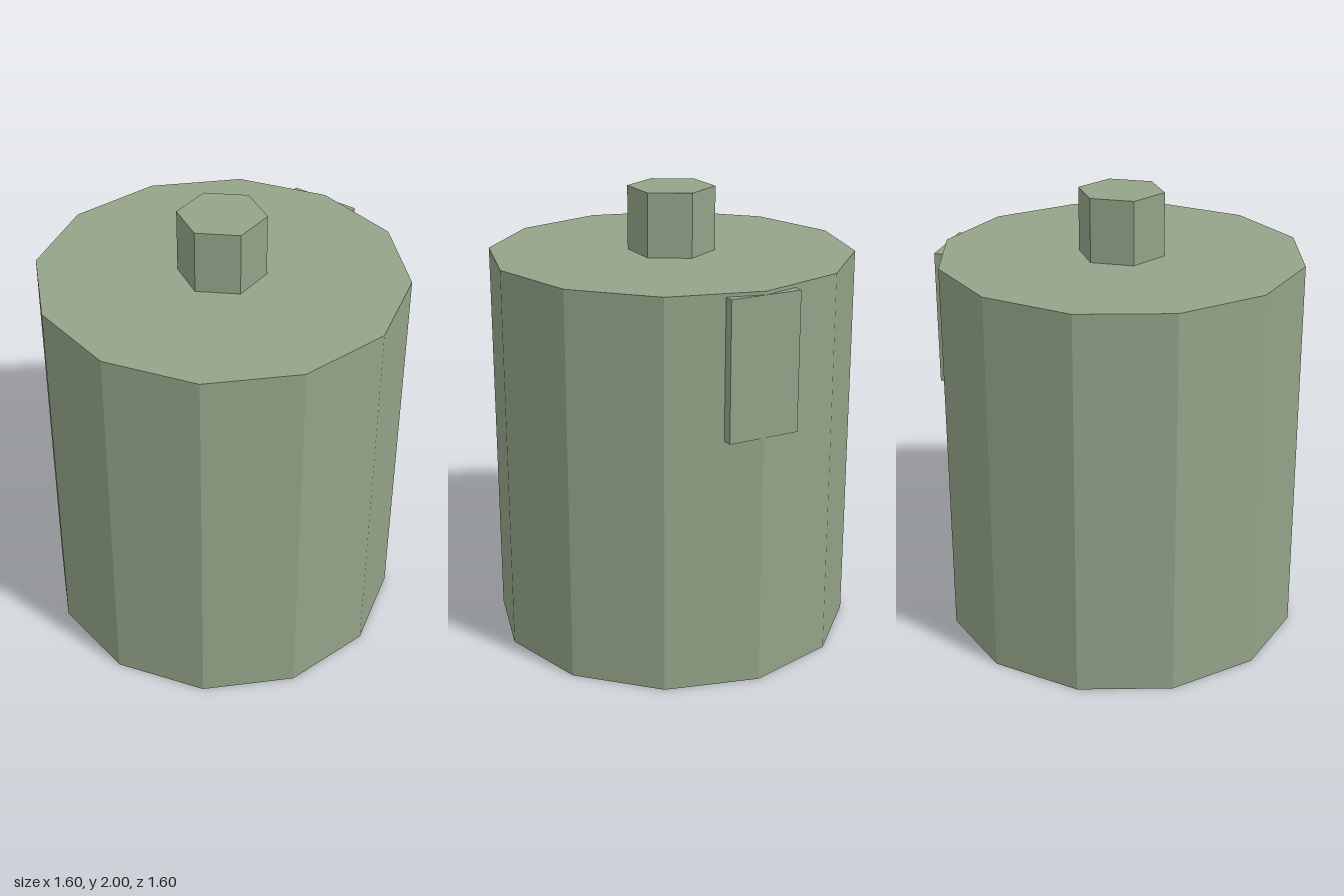
import * as THREE from 'three';

export function createModel() {
  const model = new THREE.Group();
  const sageGreen = new THREE.MeshStandardMaterial({ color: 0x93a388, flatShading: true });
  sageGreen.name = 'sageGreen';

  const add = (name, geometry, x, y, z) => {
    const mesh = new THREE.Mesh(geometry, sageGreen);
    mesh.name = name;
    mesh.position.set(x, y, z);
    model.add(mesh);
  };

  // Twelve-sided drum with a corner facing front
  add('body', new THREE.CylinderGeometry(0.8, 0.8, 1.72, 12), 0, 0.86, 0);

  // Hexagonal stub on the lid
  add('topKnob', new THREE.CylinderGeometry(0.19, 0.19, 0.28, 6), 0, 1.86, 0);

  // Flat plate set into the upper back
  add('backPlate', new THREE.BoxGeometry(0.32, 0.6, 0.06), 0, 1.405, -0.771);

  return model;
}
